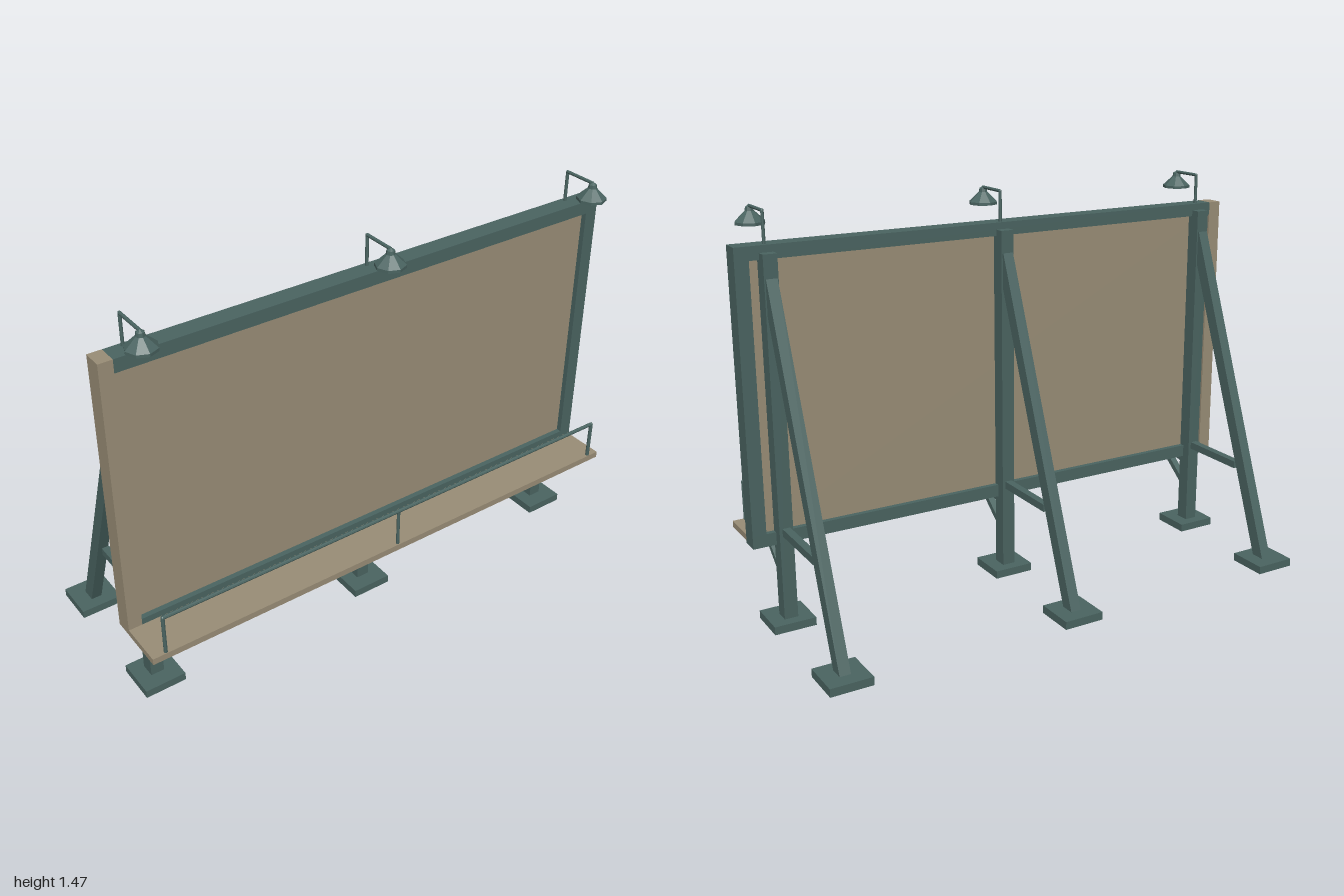
import * as THREE from 'three';

export function createModel() {
  const root = new THREE.Group();
  root.name = 'billboard';

  const teal = new THREE.MeshStandardMaterial({ color: 0x4a6461, flatShading: true });
  teal.name = 'teal steel';
  const tan = new THREE.MeshStandardMaterial({ color: 0x998d76 });
  tan.name = 'tan board';

  const add = (name, geometry, material, parent = root) => {
    const mesh = new THREE.Mesh(geometry, material);
    mesh.name = name;
    parent.add(mesh);
    return mesh;
  };

  // Box given by its limits on each axis
  const block = (name, [x0, x1], [y0, y1], [z0, z1], material, parent) => {
    const mesh = add(name, new THREE.BoxGeometry(x1 - x0, y1 - y0, z1 - z0), material, parent);
    mesh.position.set((x0 + x1) / 2, (y0 + y1) / 2, (z0 + z1) / 2);
    return mesh;
  };

  // Square bar in the y-z plane from a to b, each [y, z]
  const bar = (name, a, b, width, depth, parent) => {
    const dy = b[0] - a[0], dz = b[1] - a[1];
    const mesh = add(name, new THREE.BoxGeometry(width, Math.hypot(dy, dz), depth), teal, parent);
    mesh.position.set(0, (a[0] + b[0]) / 2, (a[1] + b[1]) / 2);
    mesh.rotation.x = Math.atan2(dz, dy);
    return mesh;
  };

  // Round rod through the given points, with sharp corners
  const rod = (name, points, radius, parent) => {
    const path = new THREE.CurvePath();
    const v = points.map((p) => new THREE.Vector3(...p));
    for (let i = 1; i < v.length; i++) {
      const dir = v[i].clone().sub(v[i - 1]);
      const mesh = add(name, new THREE.CylinderGeometry(radius, radius, dir.length(), 8), teal, parent);
      mesh.position.copy(v[i]).add(v[i - 1]).multiplyScalar(0.5);
      mesh.quaternion.setFromUnitVectors(new THREE.Vector3(0, 1, 0), dir.normalize());
      if (i < v.length - 1) {
        add(name + 'Joint', new THREE.SphereGeometry(radius, 8, 6), teal, parent).position.copy(v[i]);
      }
    }
  };

  // Board and its frame
  const frameZ = [0.165, 0.235];
  block('panel', [-0.955, 0.955], [0.345, 1.312], [0.185, 0.215], tan);
  block('frameTop', [-0.95, 1], [1.307, 1.355], frameZ, teal);
  block('frameBottom', [-0.95, 1], [0.303, 0.35], frameZ, teal);
  block('frameLeft', [0.95, 1], [0.35, 1.307], frameZ, teal);
  block('frameRight', [-1, -0.95], [0.303, 1.355], frameZ, tan);

  // Walkway with its handrail
  block('walkway', [-1, 0.993], [0.302, 0.326], [0.23, 0.4], tan);
  const rail = new THREE.Group();
  rail.name = 'handrail';
  root.add(rail);
  rod('rail', [[-0.948, 0.32, 0.391], [-0.948, 0.472, 0.391], [0.948, 0.472, 0.391], [0.948, 0.32, 0.391]], 0.007, rail);
  rod('railPost', [[0, 0.32, 0.391], [0, 0.472, 0.391]], 0.006, rail);

  // Foot: a square plate, hollow underneath
  const footShape = new THREE.Shape();
  const h = 0.077, k = 0.05;
  footShape.moveTo(-h, -h).lineTo(h, -h).lineTo(h, h).lineTo(-h, h).closePath();
  const hole = new THREE.Path();
  hole.moveTo(-k, -k).lineTo(-k, k).lineTo(k, k).lineTo(k, -k).closePath();
  footShape.holes.push(hole);
  const rimGeometry = new THREE.ExtrudeGeometry(footShape, { depth: 0.02, bevelEnabled: false });
  rimGeometry.rotateX(-Math.PI / 2);

  const foot = (name, z, parent) => {
    const group = new THREE.Group();
    group.name = name;
    group.position.z = z;
    parent.add(group);
    add('footRim', rimGeometry, teal, group);
    block('footPlate', [-h, h], [0.02, 0.03], [-h, h], teal, group);
  };

  // Lamp shade: eight-sided cone with a rim and a cap
  const shadeGeometry = new THREE.LatheGeometry([
    [0, 0], [0.053, 0], [0.053, 0.01], [0.016, 0.045], [0.014, 0.058], [0, 0.067],
  ].map(([r, y]) => new THREE.Vector2(r, y)), 8);

  for (const x of [-0.89, 0, 0.89]) {
    // Post, rear brace, tie and feet
    const support = new THREE.Group();
    support.name = 'support';
    support.position.x = x;
    root.add(support);
    block('post', [-0.025, 0.025], [0.012, 1.33], [0.13, 0.185], teal, support);
    bar('rearBrace', [0.015, -0.324], [1.24, 0.149], 0.04, 0.05, support);
    block('tie', [-0.014, 0.014], [0.344, 0.372], [-0.145, 0.14], teal, support);
    foot('frontFoot', 0.167, support);
    foot('rearFoot', -0.323, support);

    // Brackets under the walkway
    bar('bracketDiagonal', [0.172, 0.172], [0.308, 0.344], 0.026, 0.022, support);
    bar('bracketArm', [0.276, 0.17], [0.309, 0.3], 0.026, 0.024, support);

    // Lamp on its bent arm
    const lamp = new THREE.Group();
    lamp.name = 'lamp';
    lamp.position.x = x;
    root.add(lamp);
    rod('lampArm', [[0, 1.32, 0.181], [0, 1.465, 0.181], [0, 1.465, 0.306]], 0.006, lamp);
    add('lampShade', shadeGeometry, teal, lamp).position.set(0, 1.403, 0.306);
  }

  return root;
}
